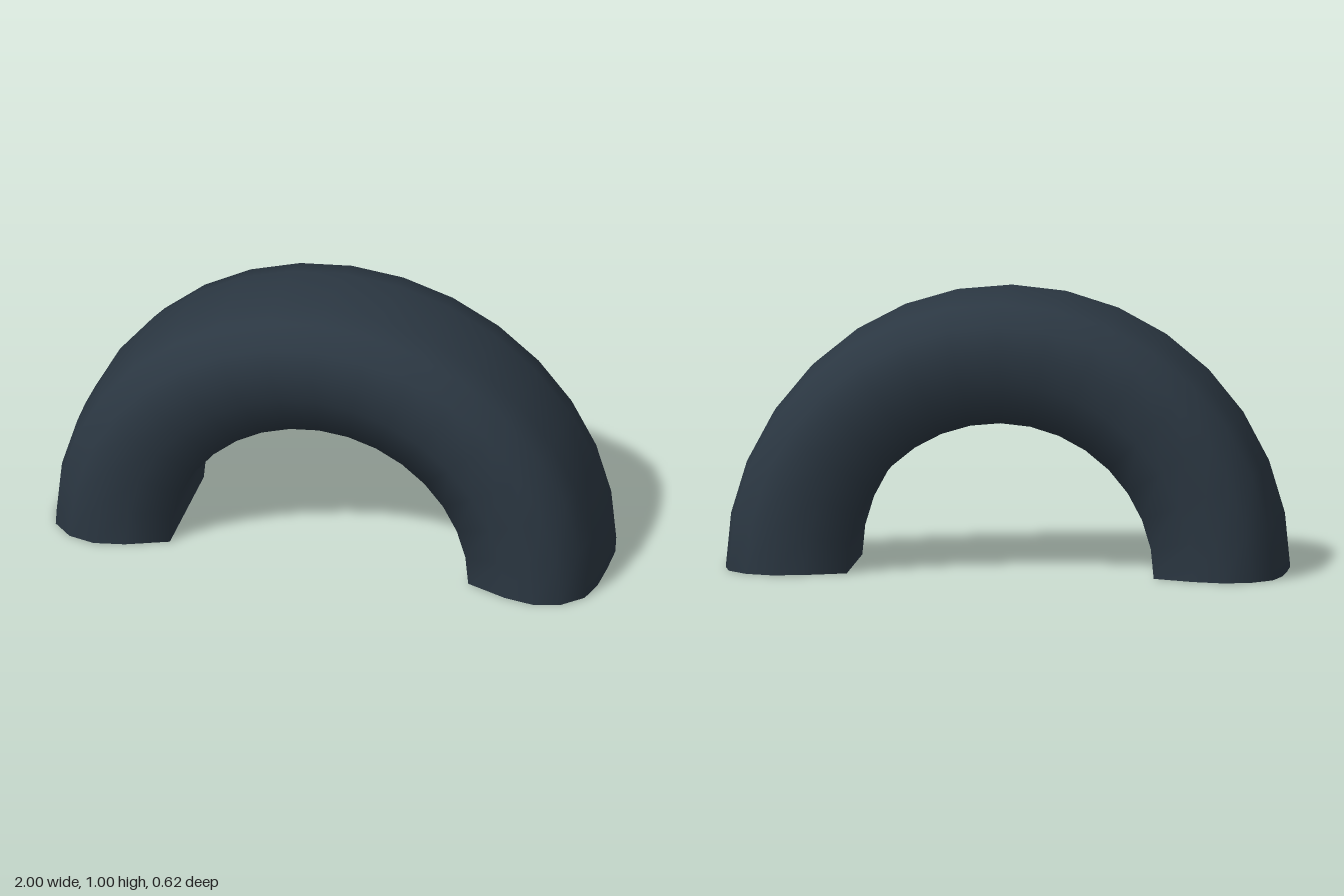
import * as THREE from 'three';

export function createModel() {
  const group = new THREE.Group();
  group.name = 'halfBuriedTire';
  const rubber = new THREE.MeshStandardMaterial({ color: 0x2b3742, roughness: 0.9 });

  // Half of the cross-section as [radius, width], from inner rim to the middle of the tread
  const half = [[0.55, 0], [0.55, 0.23], [0.7, 0.29], [0.81, 0.31], [0.905, 0.285], [0.975, 0.215], [0.997, 0.12], [1, 0]];
  const profile = [
    ...half.map(([r, w]) => new THREE.Vector2(r, -w)),
    ...half.slice(0, -1).reverse().map(([r, w]) => new THREE.Vector2(r, w)),
  ];

  // Arched body: the closed section swept half a turn about the z axis
  const arch = new THREE.LatheGeometry(profile, 16, -Math.PI / 2, Math.PI);
  arch.rotateX(-Math.PI / 2);
  const body = new THREE.Mesh(arch, rubber);
  body.name = 'tireBody';
  group.add(body);

  // Flat ends resting on the ground
  const section = new THREE.Shape(profile.slice(0, -1));
  for (const [name, turn] of [['leftEnd', 0], ['rightEnd', Math.PI]]) {
    const cap = new THREE.ShapeGeometry(section);
    cap.rotateX(Math.PI / 2);
    cap.rotateY(turn);
    const mesh = new THREE.Mesh(cap, rubber);
    mesh.name = name;
    group.add(mesh);
  }
  return group;
}
